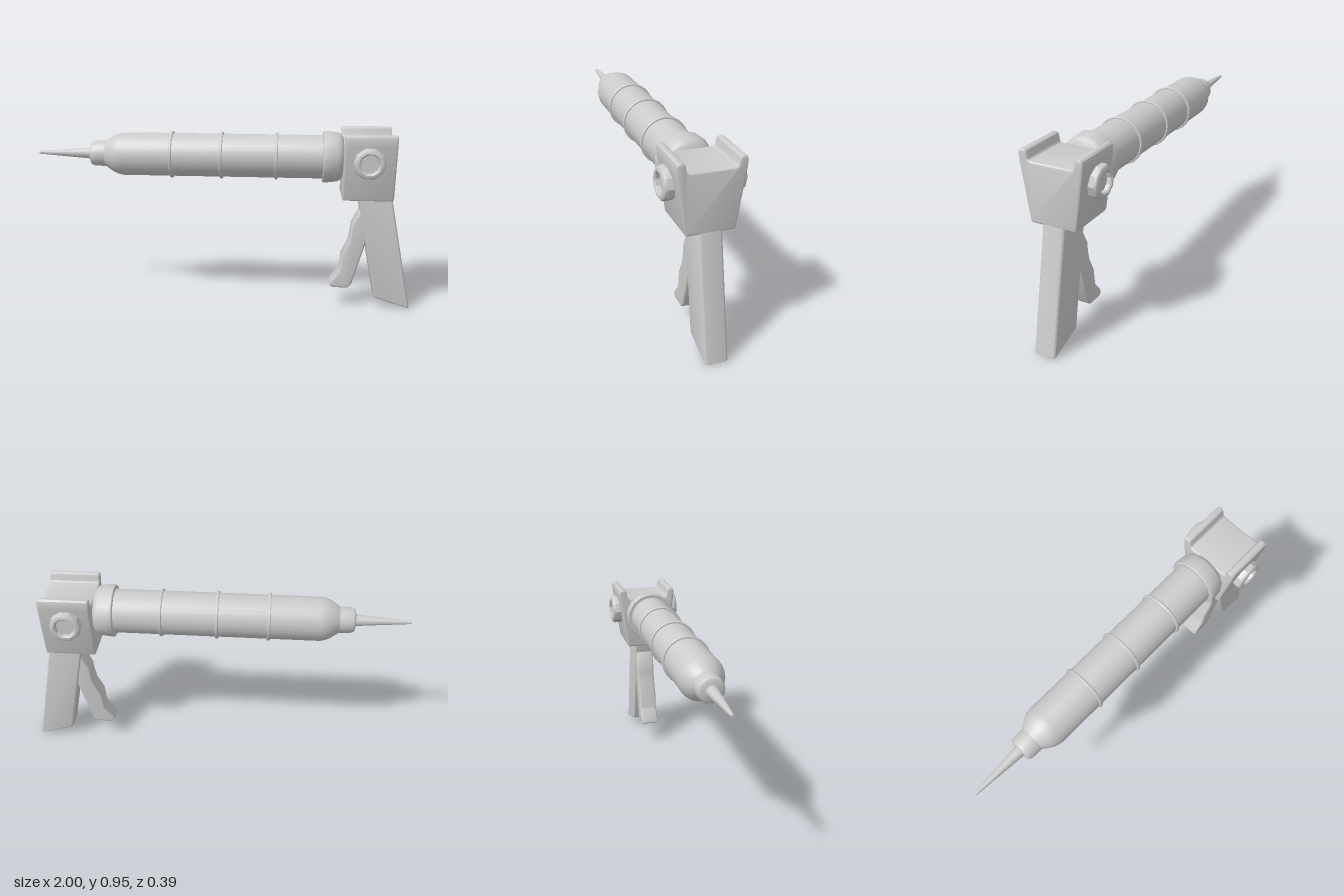
import * as THREE from 'three';
import { toCreasedNormals } from 'three/addons/utils/BufferGeometryUtils.js';

const AXIS_Y = 0.816; // height of the barrel axis
const material = new THREE.MeshStandardMaterial({ color: 0xcccccc });

function part(name, geometry, crease = 0.6) {
  const mesh = new THREE.Mesh(toCreasedNormals(geometry, crease), material);
  mesh.name = name;
  return mesh;
}

const vectors = (points) => points.map(([x, y]) => new THREE.Vector2(x, y));

// Profile of [radius, x] pairs turned around the barrel axis
function turned(name, profile, sides = 28) {
  const geometry = new THREE.LatheGeometry(vectors(profile), sides, Math.PI / 2);
  geometry.rotateZ(-Math.PI / 2);
  geometry.translate(0, AXIS_Y, 0);
  return part(name, geometry);
}

// Outline extruded with rounded edges, centred on its depth
function slab(points, depth, bevel) {
  const geometry = new THREE.ExtrudeGeometry(new THREE.Shape(vectors(points)), {
    depth: depth - 2 * bevel,
    bevelThickness: bevel,
    bevelSize: bevel,
    bevelOffset: -bevel,
    bevelSegments: 3,
  });
  return geometry.translate(0, 0, bevel - depth / 2);
}

export function createModel() {
  const model = new THREE.Group();
  model.name = 'cartridgeGun';

  // Nozzle, neck and barrel
  model.add(turned('nozzle', [[0, -1], [0.008, -1], [0.031, -0.7], [0, -0.7]], 16));
  model.add(turned('neck', [
    [0, -0.715], [0.052, -0.715], [0.06, -0.71], [0.066, -0.695], [0.068, -0.62], [0, -0.62],
  ]));
  model.add(turned('barrel', [
    [0, -0.635], [0.068, -0.635], [0.078, -0.62], [0.098, -0.59], [0.108, -0.565],
    [0.113, -0.54], [0.113, 0.53], [0, 0.53],
  ]));
  for (const x of [-0.28, -0.017, 0.27]) {
    model.add(turned('barrelRing', [
      [0.11, x - 0.008], [0.12, x - 0.008], [0.123, x - 0.004],
      [0.123, x + 0.004], [0.12, x + 0.008], [0.11, x + 0.008],
    ]));
  }
  model.add(turned('collar', [
    [0, 0.51], [0.132, 0.51], [0.136, 0.514], [0.136, 0.535], [0.13, 0.585],
    [0.12, 0.603], [0.105, 0.614], [0, 0.63],
  ], 14));

  // Housing: a tapered block with a raised lip along each side
  const half = [
    [0.108, 0.61], [0.116, 0.613], [0.12, 0.622], [0.161, 0.9], [0.164, 0.935],
    [0.16, 0.949], [0.151, 0.956], [0.135, 0.956], [0.126, 0.95], [0.122, 0.94],
    [0.118, 0.915], [0.112, 0.908], [0.1, 0.905],
  ];
  const outline = [...half, ...half.map(([z, y]) => [-z, y]).reverse()];
  const housing = slab(outline, 0.262, 0.008);
  housing.rotateY(Math.PI / 2);
  housing.translate(0.744, 0, 0);
  model.add(part('housing', housing));

  // Hollow ten-sided knobs on both sides
  for (const side of [1, -1]) {
    const geometry = new THREE.LatheGeometry(vectors([
      [0, 0.1], [0.078, 0.1], [0.081, 0.178], [0.077, 0.189], [0.066, 0.196],
      [0.056, 0.196], [0.05, 0.19], [0.048, 0.172], [0, 0.172],
    ]), 10, Math.PI / 10);
    geometry.rotateX(side * Math.PI / 2);
    geometry.translate(0.738, AXIS_Y, 0);
    model.add(part(side > 0 ? 'frontKnob' : 'backKnob', geometry));
  }

  // Slanted grip
  model.add(part('grip', slab([
    [0.692, 0.65], [0.805, 0.07], [0.812, 0.057], [0.993, 0.001],
    [0.998, 0.006], [0.868, 0.65],
  ], 0.114, 0.012)));

  // Trigger with finger grooves
  model.add(part('trigger', slab([
    [0.735, 0.57], [0.71, 0.53], [0.674, 0.46], [0.67, 0.41], [0.66, 0.36],
    [0.625, 0.285], [0.617, 0.2], [0.57, 0.14], [0.566, 0.12], [0.585, 0.108],
    [0.665, 0.108], [0.685, 0.13], [0.745, 0.34], [0.775, 0.5],
  ], 0.1, 0.01)));

  return model;
}
